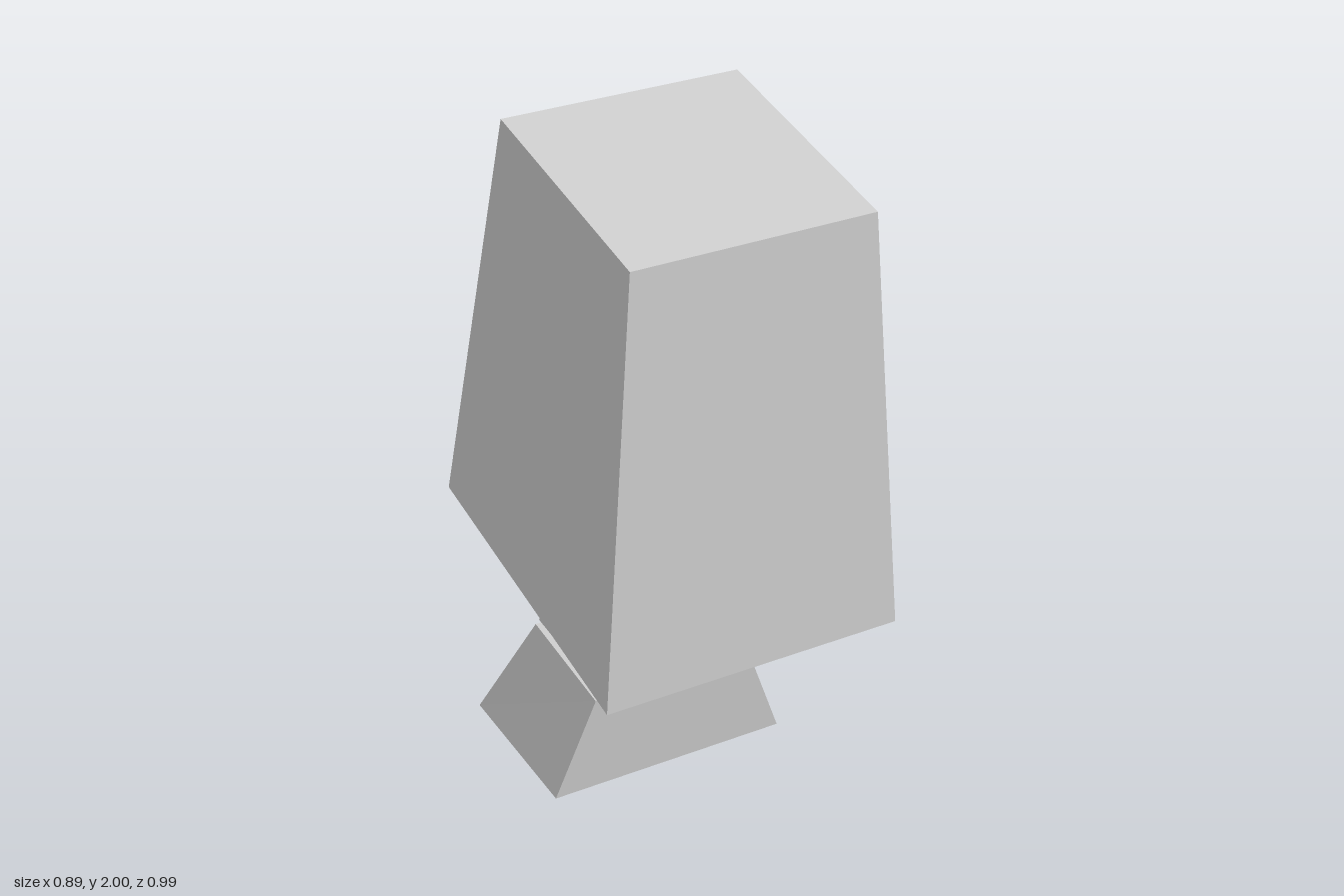
import * as THREE from 'three';

const material = new THREE.MeshStandardMaterial({ color: 0xcccccc, flatShading: true });

// Tapered block: each end gives its half width and its front and back edges as [z, y]
function block(name, bottom, top) {
  const geometry = new THREE.BoxGeometry(2, 2, 2);
  const p = geometry.attributes.position;
  for (let i = 0; i < p.count; i++) {
    const end = p.getY(i) > 0 ? top : bottom;
    const [z, y] = p.getZ(i) > 0 ? end.front : end.back;
    p.setXYZ(i, Math.sign(p.getX(i)) * end.half, y, z);
  }
  geometry.computeVertexNormals();
  const mesh = new THREE.Mesh(geometry, material);
  mesh.name = name;
  return mesh;
}

export function createModel() {
  const group = new THREE.Group();
  group.name = 'taperedBlocks';
  group.add(
    // Foot, longer towards the back
    block('foot',
      { half: 0.37, front: [0.02, 0], back: [-0.495, 0] },
      { half: 0.25, front: [0.047, 0.32], back: [-0.333, 0.355] }),
    // Short middle segment
    block('middleSegment',
      { half: 0.247, front: [0.05, 0.355], back: [-0.315, 0.38] },
      { half: 0.216, front: [0.072, 0.655], back: [-0.24, 0.69] }),
    // Large tilted upper segment
    block('upperSegment',
      { half: 0.445, front: [0.495, 0.633], back: [-0.468, 0.81] },
      { half: 0.348, front: [0.458, 1.868], back: [-0.236, 2] }),
  );
  return group;
}
